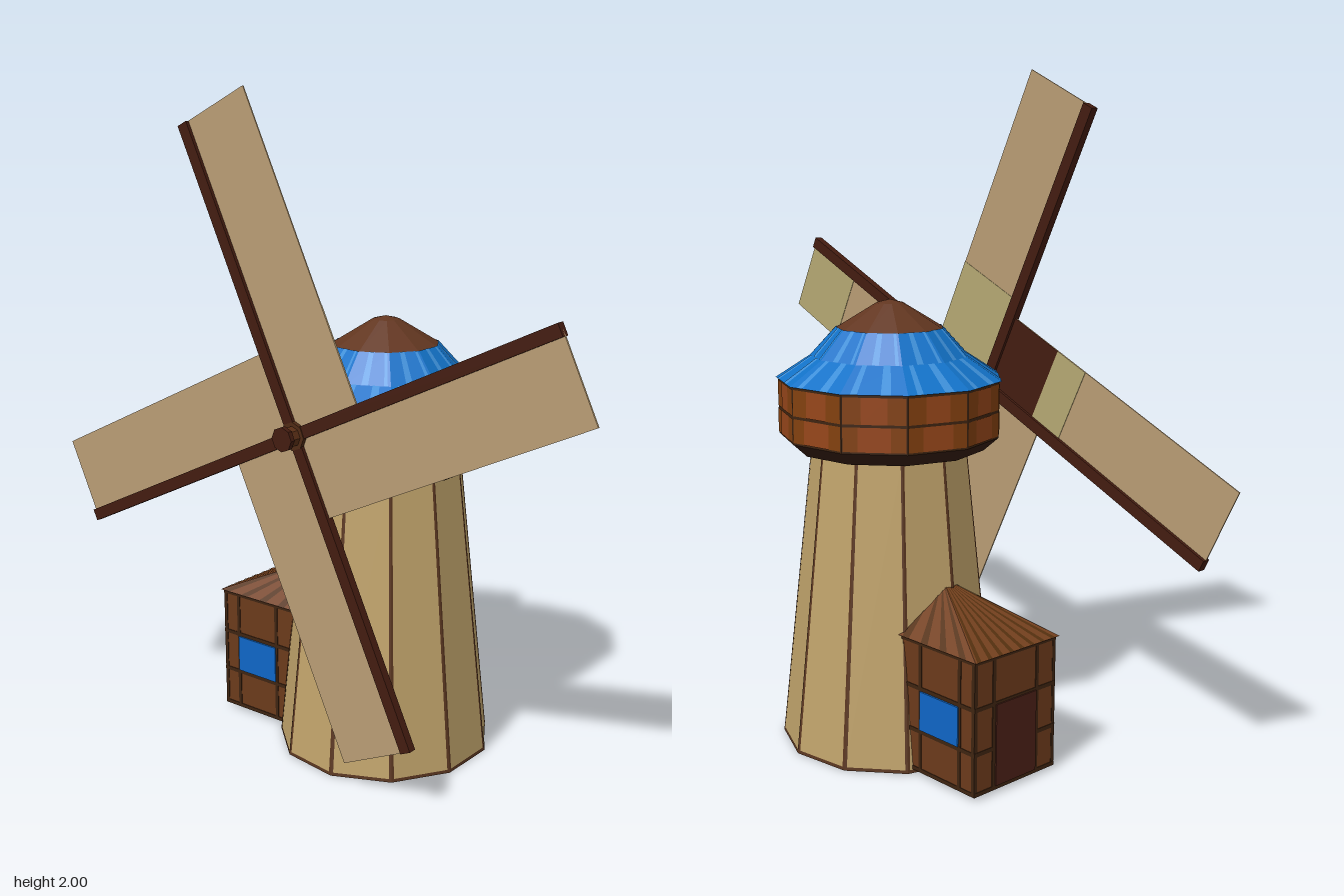
import * as THREE from 'three';

const SIDES = 11, CX = 0.052, CZ = 0.03;
const mats = {};
const mat = (color) => (mats[color] ??= new THREE.MeshStandardMaterial({ color, flatShading: true, side: THREE.DoubleSide }));
const SAND = 0xbfa26a, RIB = 0x5a3620, DARK = 0x341c10, WOOD = 0x82400f, PANEL = 0x96461a,
  BLUE = 0x1272c8, STREAK = 0x3d8fd8, CAP = 0x623620, PLANK = 0x6b3a1b, BEAM = 0x3e2411,
  CLOTH = 0xb89c74, OLIVE = 0xb5a873, BAR = 0x431c10;

function add(parent, geo, color, name, x = 0, y = 0, z = 0) {
  const m = new THREE.Mesh(geo, mat(color));
  m.name = name;
  m.position.set(x, y, z);
  parent.add(m);
  return m;
}
const box = (parent, name, color, w, h, d, x, y, z) =>
  add(parent, new THREE.BoxGeometry(w, h, d), color, name, x, y, z);

// Mesh made of four-cornered patches, corners anticlockwise from outside
function patches(parent, list, color, name) {
  const pos = [];
  for (const [a, b, c, d] of list)
    for (const p of [a, b, c, a, c, d]) pos.push(p.x, p.y, p.z);
  const g = new THREE.BufferGeometry();
  g.setAttribute('position', new THREE.Float32BufferAttribute(pos, 3));
  g.computeVertexNormals();
  return add(parent, g, color, name);
}

// Faceted ring between two radii
function ring(parent, name, color, r0, y0, r1, y1, open = true) {
  return add(parent, new THREE.CylinderGeometry(r1, r0, y1 - y0, SIDES, 1, open, Math.PI), color, name, 0, (y0 + y1) / 2, 0);
}

// Patch lying on facet k of a ring, from t0 to t1 across it
function facet(k, t0, t1, r0, y0, r1, y1) {
  const at = (t, r, y) => {
    const corner = (i) => {
      const a = Math.PI + (i * 2 * Math.PI) / SIDES;
      return new THREE.Vector3(Math.sin(a) * r, y, Math.cos(a) * r);
    };
    return corner(k).lerp(corner(k + 1), t);
  };
  return [at(t0, r0, y0), at(t1, r0, y0), at(t1, r1, y1), at(t0, r1, y1)];
}
const allFacets = (spans, ...ringArgs) => {
  const list = [];
  for (let k = 0; k < SIDES; k++) for (const [a, b] of spans) list.push(facet(k, a, b, ...ringArgs));
  return list;
};

function buildTower() {
  const g = new THREE.Group();
  g.name = 'tower';
  ring(g, 'towerWall', SAND, 0.328, 0, 0.232, 0.91);
  const base = add(g, new THREE.CircleGeometry(0.328, SIDES, Math.PI / 2), DARK, 'towerBase');
  base.rotation.x = Math.PI / 2;
  base.rotation.z = Math.PI;
  patches(g, allFacets([[0, 0.04], [0.96, 1]], 0.33, 0, 0.234, 0.91), RIB, 'towerRibs');
  patches(g, allFacets([[0, 1]], 0.3305, 0, 0.3295, 0.01), RIB, 'towerFooting');
  return g;
}

function buildCap() {
  const g = new THREE.Group();
  g.name = 'cap';
  ring(g, 'capUnderside', DARK, 0.285, 0.9, 0.33, 0.94, false);
  ring(g, 'capBand', BEAM, 0.33, 0.94, 0.33, 1.11);
  // Timber panels in two rows
  patches(g, allFacets([[0.02, 0.98]], 0.332, 0.946, 0.332, 1.016), WOOD, 'lowerPanels');
  patches(g, allFacets([[0.02, 0.98]], 0.332, 1.024, 0.332, 1.1), WOOD, 'upperPanels');
  patches(g, allFacets([[0.25, 0.75]], 0.333, 0.946, 0.333, 1.016), PANEL, 'lowerPanelBoards');
  patches(g, allFacets([[0.3, 0.7]], 0.333, 1.024, 0.333, 1.1), PANEL, 'upperPanelBoards');
  // Two-pitch roof with pale streaks and a low wooden top
  ring(g, 'roofLower', BLUE, 0.338, 1.108, 0.235, 1.175);
  ring(g, 'roofUpper', BLUE, 0.235, 1.175, 0.16, 1.257);
  patches(g, allFacets([[0.15, 0.25], [0.6, 0.75]], 0.339, 1.109, 0.236, 1.176), STREAK, 'lowerStreaks');
  patches(g, allFacets([[0.35, 0.5], [0.85, 0.93]], 0.236, 1.176, 0.161, 1.258), STREAK, 'upperStreaks');
  ring(g, 'roofTop', CAP, 0.164, 1.252, 0.04, 1.328);
  ring(g, 'roofTip', CAP, 0.04, 1.328, 0, 1.338);
  return g;
}

function buildAnnex() {
  const g = new THREE.Group();
  g.name = 'annex';
  const back = -0.5, hw = 0.16, x0 = 0.052, zMid = -0.3, depth = 0.4;
  box(g, 'annexWalls', PLANK, hw * 2, 0.395, depth, x0, 0.2075, zMid);
  // Beams round the walls
  for (const y of [0.017, 0.135, 0.265, 0.4])
    box(g, 'wallBeam', BEAM, hw * 2 + 0.004, 0.012, depth + 0.004, x0, y, zMid);
  for (const s of [-1, 1]) {
    const x = x0 + s * hw;
    for (const z of [back + 0.005, -0.44, -0.28])
      box(g, 'wallPost', BEAM, 0.012, 0.39, 0.012, x - s * 0.004, 0.21, z);
    box(g, 'window', 0x0f66c6, 0.012, 0.116, 0.156, x, 0.2, -0.36);
    box(g, 'doorPost', BEAM, 0.012, 0.39, 0.012, x0 + s * 0.086, 0.21, back + 0.004);
  }
  box(g, 'door', 0x4a2016, 0.16, 0.24, 0.012, x0, 0.143, back);

  // Hipped roof whose peak meets the tower
  const roof = [], strips = [];
  const zc = -0.2, ez = 0.31, ex = 0.168;
  const peak = new THREE.Vector3(x0, 0.54, zc);
  const c = [[ex, ez], [ex, -ez], [-ex, -ez], [-ex, ez]].map(([x, z]) => new THREE.Vector3(x0 + x, 0.405, zc + z));
  const lift = new THREE.Vector3(0, 0.002, 0);
  for (let i = 0; i < 3; i++) {
    roof.push([c[i], c[i + 1], peak, peak]);
    for (let j = 0; j < 8; j++) {
      const a = c[i].clone().lerp(c[i + 1], j / 8 + 0.02).add(lift);
      const b = c[i].clone().lerp(c[i + 1], j / 8 + 0.065).add(lift);
      const p = peak.clone().add(lift);
      strips.push([a, b, p, p]);
    }
  }
  roof.push([c[0], c[3], c[2], c[1]]);
  patches(g, roof, 0x74401e, 'annexRoof');
  patches(g, strips, 0x55300f, 'annexRoofPlanks');
  return g;
}

function buildSails() {
  const g = new THREE.Group();
  g.name = 'sails';
  const L = 0.935, W = 0.25;
  // Coloured stretches on the inner face of each sail: [from, to, colour]
  const tints = [[[0, 0.3, OLIVE]], [[0.7, L, OLIVE]], [], [[0, 0.21, BAR], [0.21, 0.33, OLIVE]]];
  tints.forEach((list, k) => {
    const arm = new THREE.Group();
    arm.name = 'sailArm';
    arm.rotation.x = -0.44 + (k * Math.PI) / 2;
    box(arm, 'spar', BAR, 0.025, L, 0.036, 0, L / 2, 0);
    box(arm, 'sailCloth', CLOTH, 0.004, L, W, 0, L / 2, W / 2);
    for (const [a, b, color] of list)
      box(arm, 'sailPatch', color, 0.002, b - a, W, 0.0025, (a + b) / 2, W / 2);
    g.add(arm);
  });
  // Axle and hub
  const rod = (name, color, r, x0, x1) => {
    const m = add(g, new THREE.CylinderGeometry(r, r, x1 - x0, 8), color, name, (x0 + x1) / 2);
    m.rotation.z = Math.PI / 2;
  };
  rod('axle', 0x4e2a14, 0.042, -0.015, 0.15);
  rod('hub', 0x5a2f16, 0.03, -0.055, 0);
  rod('hubCap', BAR, 0.036, -0.06, -0.045);
  g.position.set(-0.325, 1.045, 0);
  return g;
}

export function createModel() {
  const model = new THREE.Group();
  model.name = 'windmill';
  for (const part of [buildTower(), buildCap()]) {
    part.position.set(CX, 0, CZ);
    model.add(part);
  }
  model.add(buildAnnex(), buildSails());
  return model;
}
